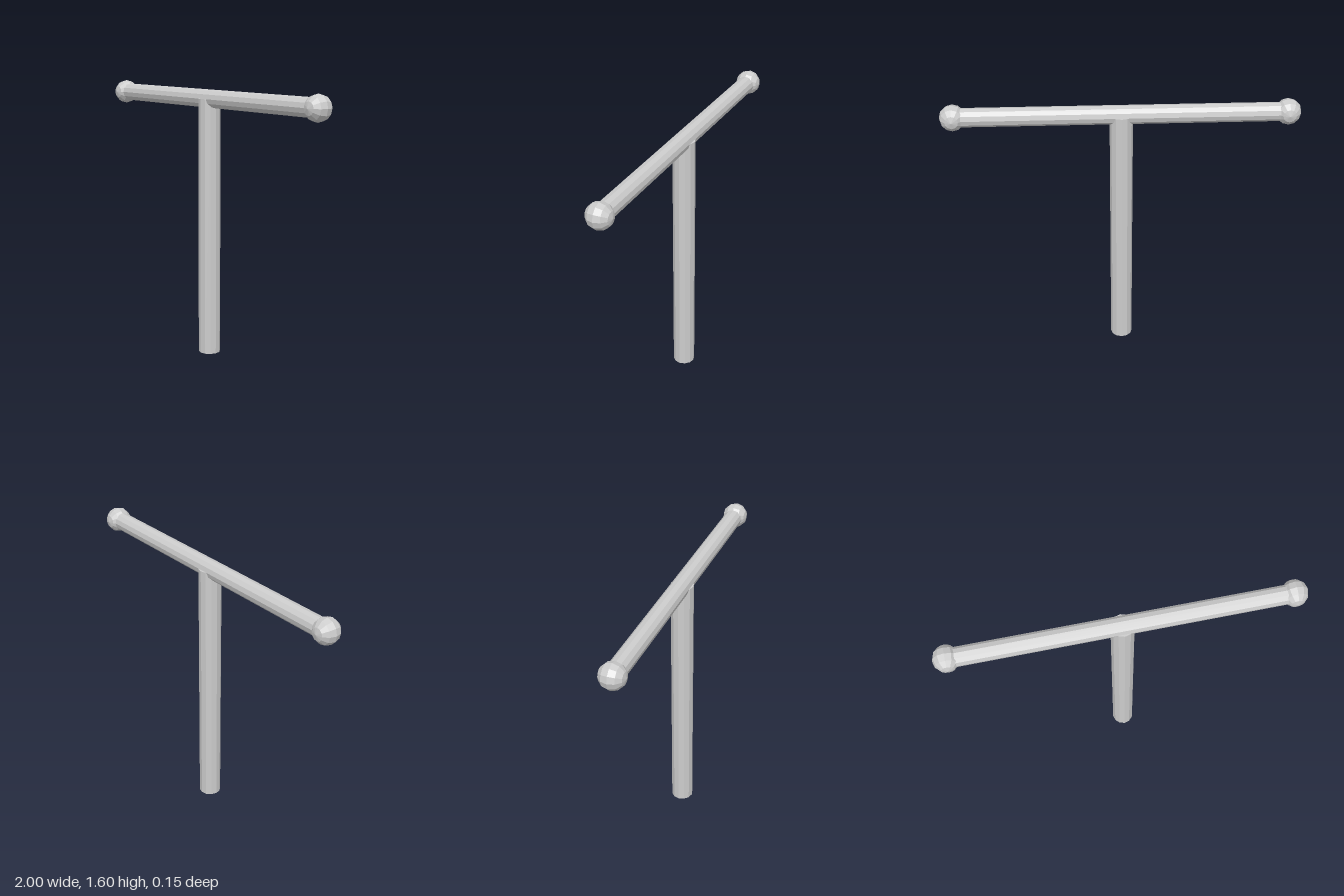
import * as THREE from 'three';

export function createModel() {
  const model = new THREE.Group();
  const grey = new THREE.MeshStandardMaterial({ color: 0xcccccc, flatShading: true });
  grey.name = 'lightGrey';

  const SIDES = 12;
  const AXIS_Y = 1.527; // height of the crossbar axis
  const BALL_R = 0.0735;
  const BALL_X = 1 - BALL_R;

  const add = (name, geometry) => {
    const mesh = new THREE.Mesh(geometry, grey);
    mesh.name = name;
    model.add(mesh);
    return mesh;
  };

  // Upright post, ending inside the crossbar
  add('post', new THREE.CylinderGeometry(0.065, 0.065, AXIS_Y, SIDES)).position.y = AXIS_Y / 2;

  // Crossbar
  const bar = add('crossbar', new THREE.CylinderGeometry(0.053, 0.053, BALL_X * 2, SIDES));
  bar.rotation.z = Math.PI / 2;
  bar.position.y = AXIS_Y;

  // End balls, poles facing front and back
  for (const [name, side] of [['leftBall', 1], ['rightBall', -1]]) {
    const ball = add(name, new THREE.SphereGeometry(BALL_R, SIDES, 6).rotateX(Math.PI / 2));
    ball.position.set(side * BALL_X, AXIS_Y, 0);
  }

  return model;
}
